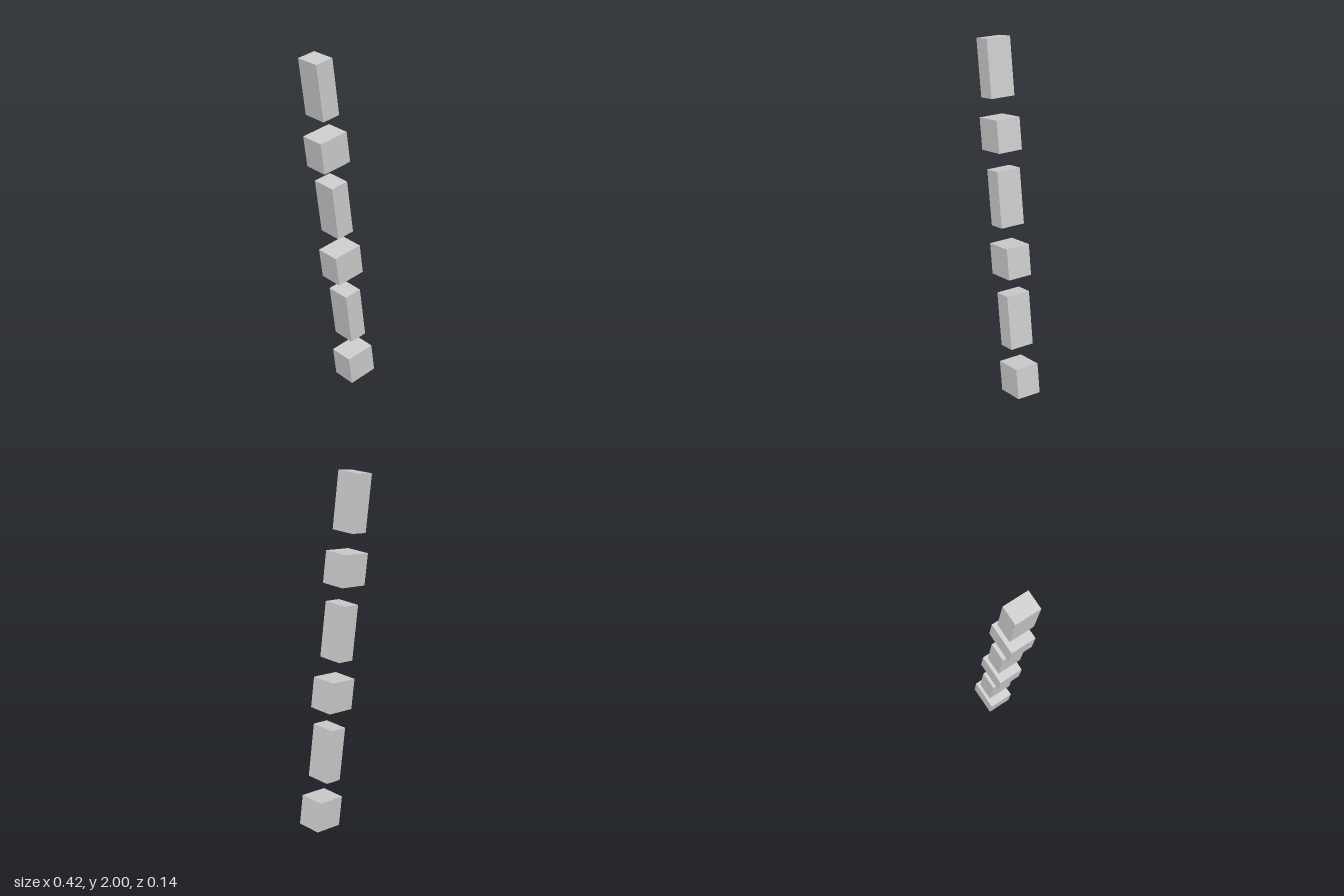
import * as THREE from 'three';

export function createModel() {
  const model = new THREE.Group();
  const material = new THREE.MeshStandardMaterial({ color: 0xcccccc, flatShading: true });
  const depth = 0.142;
  const pitch = 0.7015;

  // Leaning column: local y runs along its axis, starting at the lowest block
  const column = new THREE.Group();
  column.name = 'leaningColumn';
  column.position.set(0.11, 0.099, 0);
  column.rotation.z = THREE.MathUtils.degToRad(8);
  model.add(column);

  const addBlock = (name, width, height, along) => {
    const block = new THREE.Mesh(new THREE.BoxGeometry(width, height, depth), material);
    block.name = name;
    block.position.y = along;
    column.add(block);
  };

  // Wide short blocks alternate with narrow tall ones
  for (let i = 0; i < 3; i++) {
    addBlock(`shortBlock${i + 1}`, 0.174, 0.176, i * pitch);
    addBlock(`tallBlock${i + 1}`, 0.104, 0.312, i * pitch + 0.354);
  }
  return model;
}
